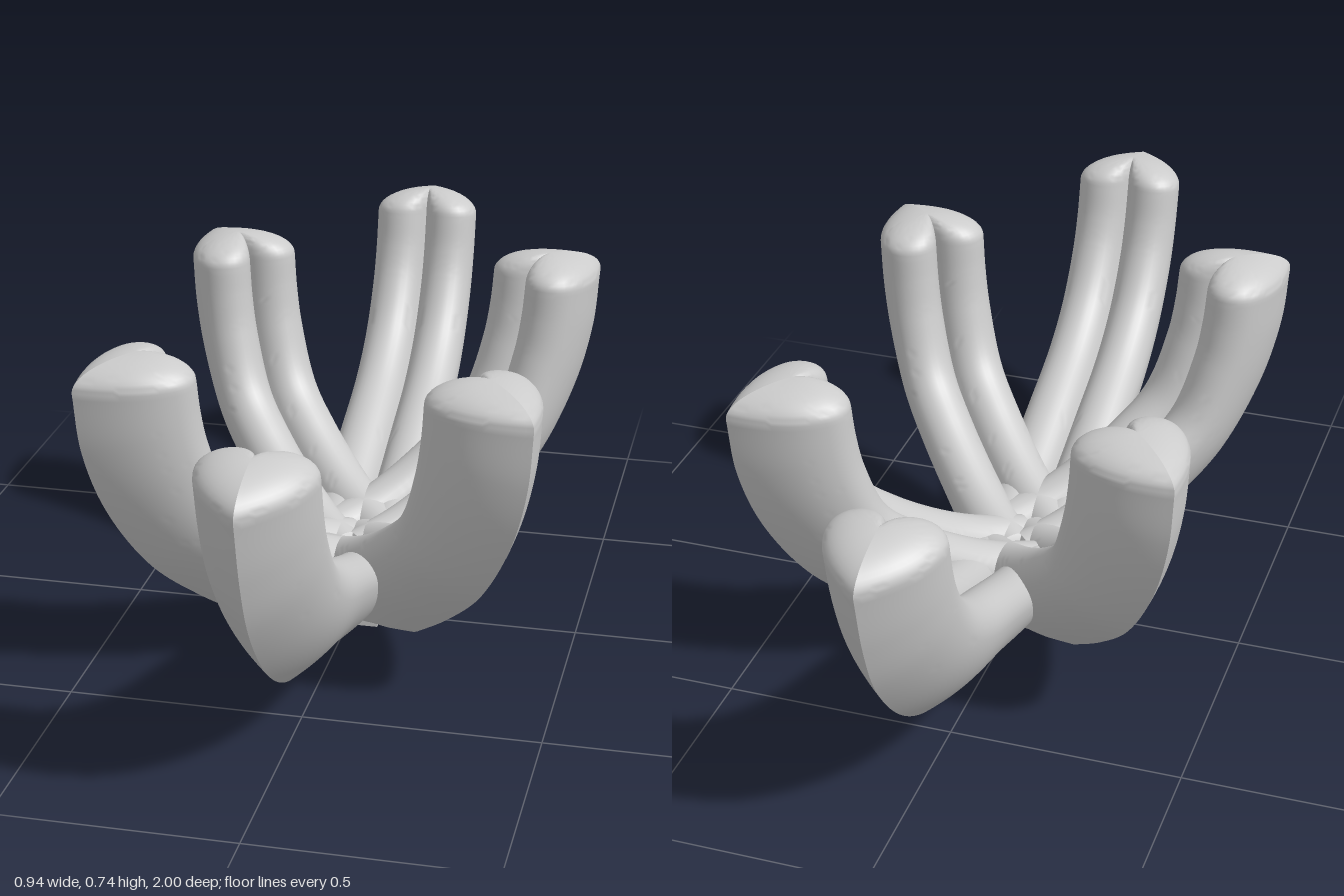
import * as THREE from 'three';
import { toCreasedNormals } from 'three/addons/utils/BufferGeometryUtils.js';

// Each row pairs the outer keel with the inner lobe crest: [keel r, keel y, crest r, crest y]
const LONG_ARM = [
  [0, 0.0, 0, 0.2], [0.22, 0.035, 0.2, 0.25], [0.4, 0.085, 0.4, 0.325],
  [0.62, 0.145, 0.55, 0.39], [0.78, 0.245, 0.65, 0.46], [0.91, 0.395, 0.72, 0.55],
  [0.965, 0.52, 0.75, 0.615], [1, 0.66, 0.77, 0.69],
];
const SHORT_ARM = [
  [0.05, -0.06, -0.05, 0.21], [0.16, 0.01, 0.06, 0.24], [0.255, 0.075, 0.15, 0.28],
  [0.38, 0.16, 0.255, 0.345], [0.495, 0.26, 0.34, 0.42], [0.594, 0.41, 0.39, 0.54],
  [0.643, 0.55, 0.407, 0.62], [0.658, 0.68, 0.415, 0.69],
];
const HALF_WIDTH = 0.12, CAP_RISE = 0.055;

// Half of a heart: w = sideways, h = 0 at the point and 1 at the lobe crest
function halfHeart() {
  const flank = new THREE.QuadraticBezierCurve(
    new THREE.Vector2(0, 0), new THREE.Vector2(0.115, 0.36), new THREE.Vector2(HALF_WIDTH, 0.74));
  const pts = flank.getPoints(18).map((p) => [p.x, p.y]);
  for (let i = 1; i <= 14; i++) {
    const a = (i / 14) * (Math.PI - 0.2);
    pts.push([i === 14 ? 0 : 0.06 + 0.06 * Math.cos(a), 0.74 + 0.26 * Math.sin(a)]);
  }
  return pts;
}

// One mirrored half of an arm, swept along +z, cut flat underneath, with a domed end
function halfArm(rows, side, floorAt) {
  const curve = (k) => new THREE.CatmullRomCurve3(
    rows.map((r) => new THREE.Vector3(0, r[k + 1], r[k])), false, 'centripetal');
  const keel = curve(0), crest = curve(2);
  const heart = halfHeart(), n = heart.length;
  const pos = [], index = [];
  const RINGS = 64, CAP = 12, total = RINGS + CAP;

  const last = rows[rows.length - 1];
  const up = new THREE.Vector3(0, last[0] - last[2], last[3] - last[1]).normalize();

  for (let i = 0; i <= total; i++) {
    const t = Math.min(i / RINGS, 1);
    const k = keel.getPoint(t), c = crest.getPoint(t);
    const a = (Math.max(0, i - RINGS) / CAP) * Math.PI / 2;
    const scale = Math.cos(a), rise = CAP_RISE * Math.sin(a);
    for (const [w, h] of heart) {
      const p = k.clone().lerp(c, 0.6 + (h - 0.6) * scale).addScaledVector(up, rise);
      pos.push(side * w * scale, Math.max(p.y, floorAt(p.z)), p.z);
    }
  }
  for (let i = 0; i < total; i++) {
    for (let j = 0; j < n - 1; j++) {
      const a = i * n + j, b = a + 1, c = a + n, d = c + 1;
      if (side > 0) index.push(a, b, c, b, d, c);
      else index.push(a, c, b, b, c, d);
    }
  }
  const geo = new THREE.BufferGeometry();
  geo.setAttribute('position', new THREE.Float32BufferAttribute(pos, 3));
  geo.setIndex(index);
  return toCreasedNormals(geo, 0.5);
}

export function createModel() {
  const model = new THREE.Group();
  model.name = 'sixArmedHolder';
  const material = new THREE.MeshStandardMaterial({ color: 0xcccccc, side: THREE.DoubleSide });

  const halves = (rows, floorAt) => [1, -1].map((s) => halfArm(rows, s, floorAt));
  const longHalves = halves(LONG_ARM, () => 0.084);
  const shortHalves = halves(SHORT_ARM, (r) => 0.083 - 0.03 * Math.max(0, r));

  function addArm(name, geometries, angle, offsetZ) {
    const arm = new THREE.Group();
    arm.name = name;
    geometries.forEach((g, i) => {
      const mesh = new THREE.Mesh(g, material);
      mesh.name = i === 0 ? 'armHalfA' : 'armHalfB';
      arm.add(mesh);
    });
    arm.rotation.y = angle;
    arm.position.z = offsetZ;
    model.add(arm);
  }

  // Long arms along z
  addArm('frontArm', longHalves, 0, 0);
  addArm('backArm', longHalves, Math.PI, 0);

  // Short diagonal arms
  const q = Math.PI / 4;
  addArm('frontLeftArm', shortHalves, q, 0.04);
  addArm('frontRightArm', shortHalves, -q, 0.04);
  addArm('backLeftArm', shortHalves, 3 * q, -0.04);
  addArm('backRightArm', shortHalves, -3 * q, -0.04);

  // Square foot, running up into the joint
  const foot = new THREE.Mesh(new THREE.BoxGeometry(0.134, 0.13, 0.134), material);
  foot.name = 'foot';
  foot.position.y = 0.065;
  model.add(foot);

  return model;
}
